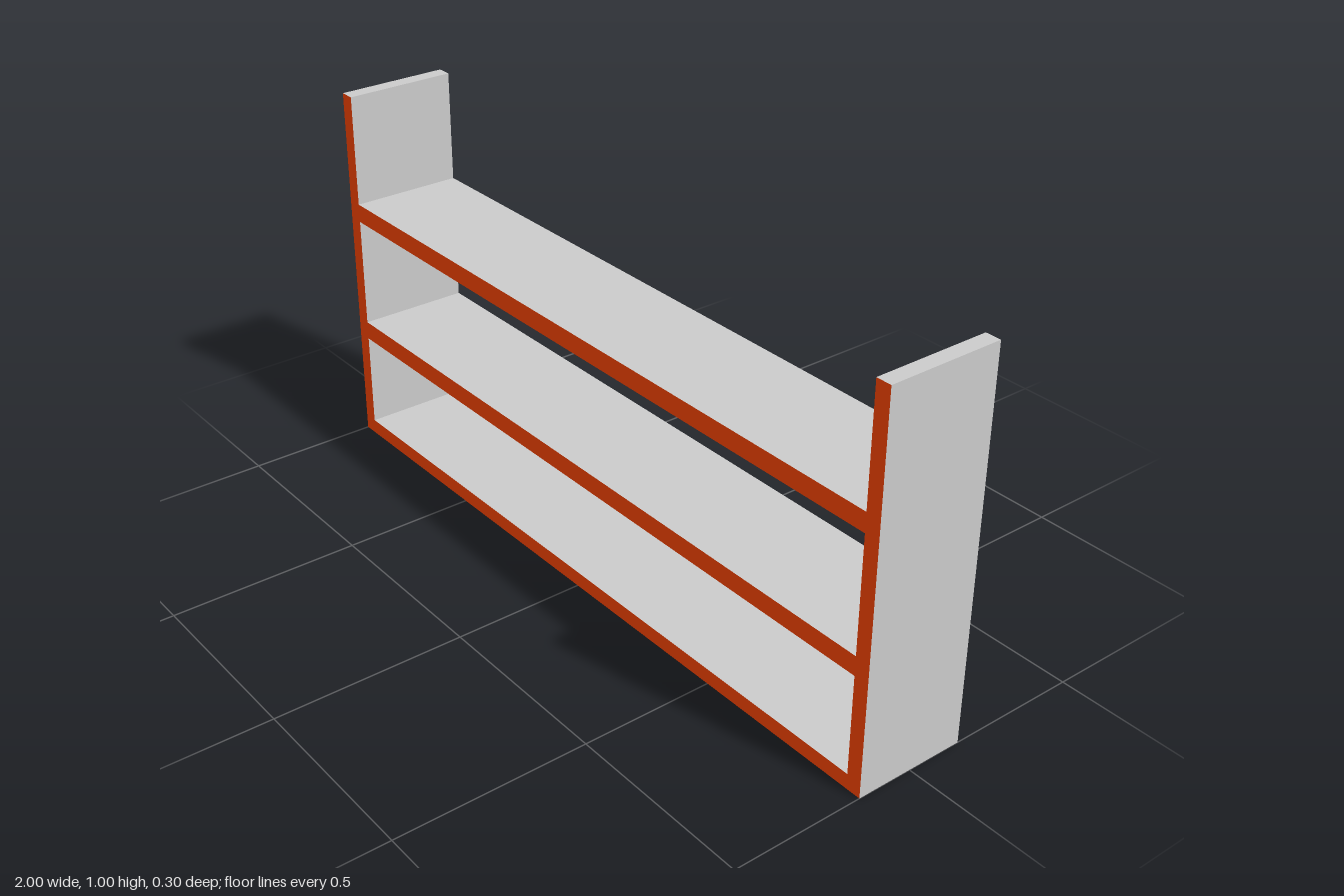
import * as THREE from 'three';

const DEPTH = 0.3;
const INNER = 0.96; // half width between the side panels

export function createModel() {
  const group = new THREE.Group();
  group.name = 'wallShelf';

  const grey = new THREE.MeshStandardMaterial({ color: 0xcccccc });
  const orange = new THREE.MeshStandardMaterial({ color: 0xff4500 });

  // Outline: two side panels rising above the top shelf
  const outline = new THREE.Shape([
    [-1, 0], [1, 0], [1, 1], [INNER, 1], [INNER, 0.7],
    [-INNER, 0.7], [-INNER, 1], [-1, 1],
  ].map(([x, y]) => new THREE.Vector2(x, y)));

  // Open compartments between the base, middle and top shelves
  for (const [bottom, top] of [[0.04, 0.3], [0.35, 0.65]]) {
    outline.holes.push(new THREE.Path([
      [-INNER, bottom], [-INNER, top], [INNER, top], [INNER, bottom],
    ].map(([x, y]) => new THREE.Vector2(x, y))));
  }

  const geometry = new THREE.ExtrudeGeometry(outline, { depth: DEPTH, bevelEnabled: false });
  geometry.translate(0, 0, -DEPTH / 2);

  // Caps are stored back first, then front: only the front edges are orange
  const [caps, walls] = geometry.groups.map((g) => ({ ...g }));
  geometry.clearGroups();
  geometry.addGroup(caps.start, caps.count / 2, 0);
  geometry.addGroup(caps.start + caps.count / 2, caps.count / 2, 1);
  geometry.addGroup(walls.start, walls.count, 0);

  const frame = new THREE.Mesh(geometry, [grey, orange]);
  frame.name = 'shelfFrame';
  group.add(frame);
  return group;
}
